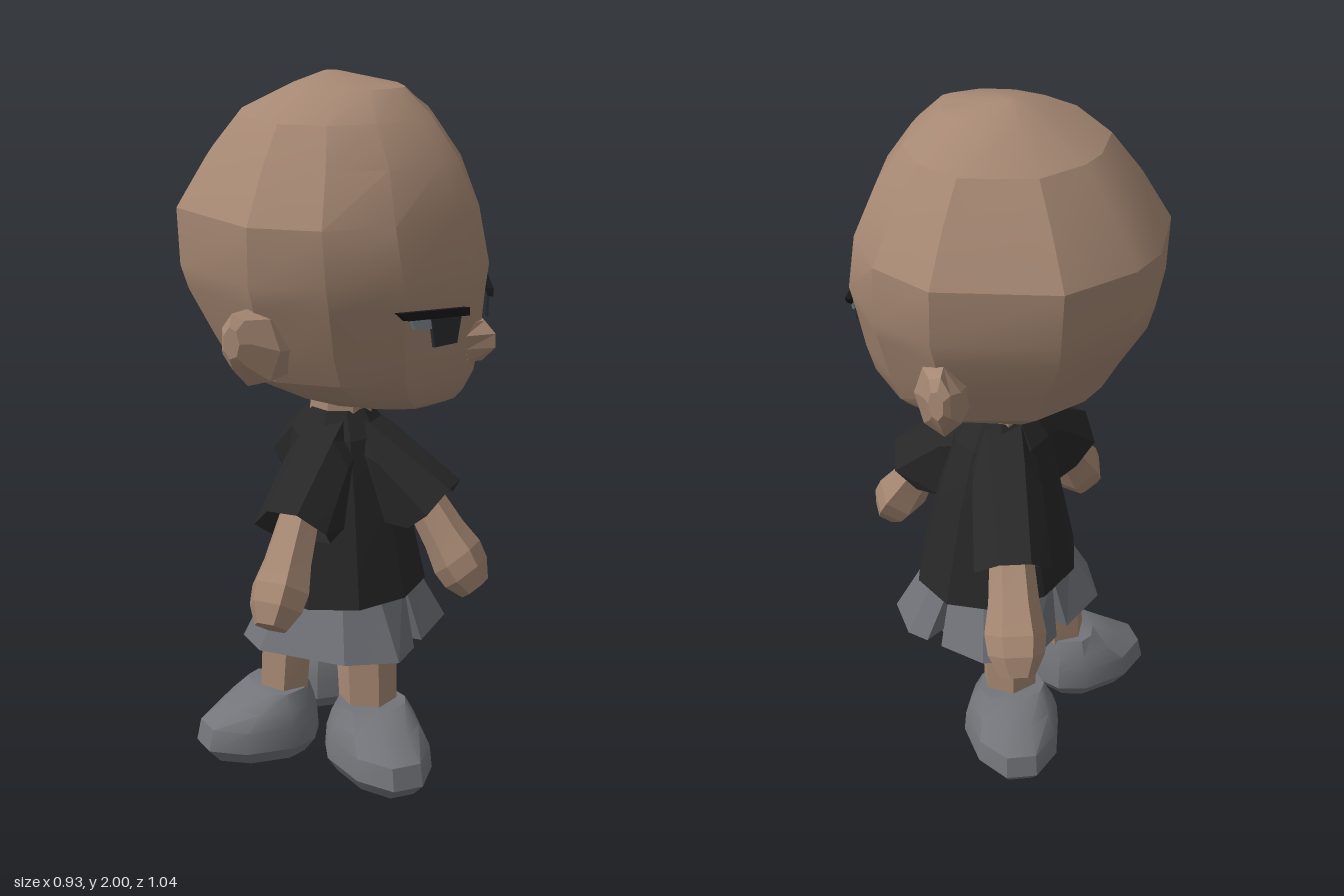
import * as THREE from 'three';
import { toCreasedNormals } from 'three/addons/utils/BufferGeometryUtils.js';

const mat = (name, color, side = THREE.FrontSide) => {
  const m = new THREE.MeshStandardMaterial({ color, side });
  m.name = name;
  return m;
};

// Faceted skin through rings of [x, y, z] points, optionally closed at both ends
function loft(rings, { bottom = true, top = true, crease = 0.2 } = {}) {
  const pos = [];
  const tri = (a, b, c) => pos.push(...a, ...b, ...c);
  const mid = (r) => [0, 1, 2].map((k) => r.reduce((s, p) => s + p[k], 0) / r.length);
  const n = rings[0].length;
  const first = rings[0], last = rings[rings.length - 1];
  for (let j = 0; j < n; j++) {
    const k = (j + 1) % n;
    for (let i = 0; i < rings.length - 1; i++) {
      const a = rings[i][j], b = rings[i][k], c = rings[i + 1][k], d = rings[i + 1][j];
      tri(a, d, b);
      tri(b, d, c);
    }
    if (bottom) tri(mid(first), first[j], first[k]);
    if (top) tri(mid(last), last[k], last[j]);
  }
  const g = new THREE.BufferGeometry();
  g.setAttribute('position', new THREE.Float32BufferAttribute(pos, 3));
  g.computeVertexNormals();
  return toCreasedNormals(g, crease);
}

// Horizontal ring from a unit outline; back and front reach may differ
const ring = (outline, y, cx, back, front, rz) =>
  outline.map(([u, v]) => [cx + u * (u > 0 ? front - cx : cx - back), y, v * rz]);
const circle = (n, turn = 0) => Array.from({ length: n }, (_, i) => {
  const t = ((i + turn) / n) * Math.PI * 2;
  return [Math.cos(t), Math.sin(t)];
});
const round = (n, y, r, cx = 0, turn = 0) => ring(circle(n, turn), y, cx, cx - r, cx + r, r);

export function createModel() {
  const skin = mat('skin', 0xa68873);
  const black = mat('shirtBlack', 0x282828, THREE.DoubleSide);
  const grey = mat('shortsGrey', 0x6f7177, THREE.DoubleSide);
  const shoeGrey = mat('shoeGrey', 0x73757a);
  const browBlack = mat('browBlack', 0x18181a);
  const irisDark = mat('irisDark', 0x2b2d31);
  const eyePale = mat('eyePale', 0x828d92);

  const model = new THREE.Group();
  const add = (name, geo, material, parent = model) => {
    const m = new THREE.Mesh(geo, material);
    m.name = name;
    parent.add(m);
    return m;
  };
  const radial = (name, angle) => {
    const g = new THREE.Group();
    g.name = name;
    g.rotation.y = -angle;
    model.add(g);
    return g;
  };

  // Head: flat slanted cheeks in front, broad planes behind
  const halfOutline = [[0.95, 0.18], [0.72, 0.65], [0.36, 0.93], [-0.1, 1], [-0.78, 0.62], [-0.98, 0.14]];
  const headOutline = [[1, 0], ...halfOutline, ...halfOutline.map(([u, v]) => [u, -v]).reverse()];
  const headRows = [ // y, centre, back x, front x, half depth
    [1.07, 0.18, 0.06, 0.28, 0.08], [1.1, 0.1, -0.09, 0.35, 0.2], [1.13, 0.03, -0.23, 0.375, 0.26],
    [1.19, -0.02, -0.31, 0.405, 0.335], [1.28, -0.03, -0.36, 0.42, 0.38], [1.41, -0.03, -0.44, 0.432, 0.425],
    [1.48, -0.03, -0.46, 0.44, 0.452], [1.64, -0.03, -0.47, 0.405, 0.452], [1.78, -0.03, -0.38, 0.35, 0.375],
    [1.89, -0.03, -0.29, 0.27, 0.295], [1.965, -0.03, -0.14, 0.19, 0.15], [2.0, -0.03, -0.05, 0.0, 0.02],
  ];
  add('head', loft(headRows.map((row) => ring(headOutline, ...row)), { crease: 0.4 }), skin);
  add('neck', loft([round(8, 0.98, 0.1), round(8, 1.13, 0.09)]), skin);

  // Nose
  add('nose', loft([[1.22, 0.43, 0.035], [1.26, 0.468, 0.05], [1.3, 0.468, 0.06], [1.335, 0.435, 0.05]]
    .map(([y, f, rz]) => ring(circle(4), y, 0.4, 0.37, f, rz))), skin);

  // Ears, flaring outward and back: z, centre x, centre y, half width, half height
  const earGeo = loft([
    [0.33, -0.05, 1.29, 0.07, 0.09], [0.42, -0.075, 1.305, 0.08, 0.11],
    [0.465, -0.105, 1.33, 0.045, 0.08], [0.482, -0.11, 1.33, 0.025, 0.045],
  ].map(([z, cx, cy, rx, ry]) => circle(7).map(([u, v]) => [cx + u * rx, cy - v * ry, z])));
  for (const s of [1, -1]) add('ear', earGeo, skin).scale.z = s;

  // Eye plates, outlined as (z, y) and slanted to follow the face
  const plate = (name, pts, lift, depth, material) => {
    const shape = new THREE.Shape(pts.map(([z, y]) => new THREE.Vector2(-z, y)));
    const g = new THREE.ExtrudeGeometry(shape, { depth, bevelEnabled: false });
    g.rotateY(Math.PI / 2);
    const p = g.attributes.position;
    for (let i = 0; i < p.count; i++) {
      p.setX(i, p.getX(i) + 0.408 + lift - 0.55 * (Math.abs(p.getZ(i)) - 0.1));
    }
    g.computeVertexNormals();
    add(name, g, material);
  };
  for (const [s, tilt] of [[1, 0], [-1, 0.15]]) {
    const at = (pts) => pts.map(([z, y]) => [s * z, y + tilt * (z - 0.05)]);
    plate('eyePale', at([[0.19, 1.35], [0.26, 1.36], [0.275, 1.395], [0.19, 1.39]]), 0, 0.008, eyePale);
    plate('iris', at([[0.13, 1.3], [0.2, 1.3], [0.215, 1.4], [0.115, 1.39]]), 0.002, 0.008, irisDark);
    plate('brow', at([[0.1, 1.372], [0.29, 1.39], [0.315, 1.415], [0.1, 1.395]]), 0, 0.018, browBlack);
  }

  // Shirt body
  add('shirt', loft([
    [0.5, 0.015, 0.235, 0.275], [0.8, 0.01, 0.175, 0.2], [0.97, 0, 0.14, 0.15], [1.045, 0, 0.09, 0.1],
  ].map(([y, cx, rx, rz]) => ring(circle(10, 0.5), y, cx, cx - rx, cx + rx, rz))), black);

  // Three sleeves and arms spread around the body
  const sleeveRing = ([t, m, b]) =>
    [[t, 1], [t, -1], [m, -1], [b, -1], [b, 1], [m, 1]].map(([[r, y, w], s]) => [r, y, s * w]);
  const sleeveGeo = loft([
    sleeveRing([[0.05, 1.045, 0.05], [0.05, 0.95, 0.09], [0.08, 0.75, 0.08]]),
    sleeveRing([[0.17, 0.985, 0.05], [0.18, 0.91, 0.1], [0.18, 0.73, 0.09]]),
    sleeveRing([[0.41, 0.84, 0.045], [0.36, 0.775, 0.11], [0.285, 0.72, 0.09]]),
  ], { bottom: false, top: false });
  const armGeo = loft([[0, 0.05], [0.055, 0.08], [0.11, 0.087], [0.19, 0.072], [0.4, 0.055]]
    .map(([y, r]) => round(6, y, r, 0, 0.5)));
  [[0, 0.87], [Math.PI / 2, 1], [Math.atan2(-0.47, -0.36), 1.2]].forEach(([angle, reach]) => {
    const g = radial('armAndSleeve', angle);
    g.scale.x = reach;
    add('sleeve', sleeveGeo, black, g);
    const arm = add('arm', armGeo, skin, g);
    arm.position.set(0.49, 0.53, 0);
    arm.rotation.z = 0.64;
  });

  // Shorts: three flared panels, [x, z] at the waist and at the hem
  const panels = [
    [[[0.2, 0], [0.18, 0.14], [0.1, 0.22], [-0.08, 0.22], [-0.16, 0.14], [-0.18, 0]],
      [[0.25, 0.03], [0.265, 0.19], [0.14, 0.3], [-0.13, 0.3], [-0.235, 0.19], [-0.22, 0.03]]],
    [[[-0.18, 0], [-0.16, -0.14], [-0.08, -0.22], [0.04, -0.22], [0.04, 0]],
      [[-0.22, -0.03], [-0.235, -0.19], [-0.13, -0.3], [0.02, -0.3], [0.02, -0.03]]],
    [[[0.04, 0], [0.04, -0.22], [0.1, -0.22], [0.18, -0.14], [0.2, 0]],
      [[0.07, -0.03], [0.07, -0.3], [0.14, -0.3], [0.265, -0.19], [0.25, -0.03]]],
  ];
  for (const [waist, hem] of panels) {
    const hemRing = hem.map(([x, z]) => [x, 0.315 + Math.abs(z) * 0.14, z]);
    const waistRing = waist.map(([x, z]) => [x, 0.52, z]);
    add('shortsPanel', loft([hemRing, waistRing], { bottom: false }), grey);
  }
  add('shortsSeat', loft([round(8, 0.46, 0.14), round(8, 0.51, 0.17)]), grey);

  // Three legs with shoes pointing outward
  const legGeo = loft([round(6, 0.14, 0.083, 0.21), round(6, 0.34, 0.088, 0.195), round(6, 0.46, 0.07, 0.15)]);
  const shoeGeo = loft([
    [0, 0.14, 0.465, 0.115], [0.045, 0.1, 0.51, 0.145], [0.11, 0.105, 0.495, 0.14],
    [0.155, 0.115, 0.41, 0.125], [0.2, 0.13, 0.32, 0.1],
  ].map(([y, b, f, rz]) => ring(circle(10, 0.5), y, 0.25, b, f, rz)), { crease: 0.6 });
  [[Math.PI * 0.25, 1.04], [Math.PI * 0.715, 0.93], [Math.PI * 1.275, 0.95]].forEach(([angle, reach]) => {
    const g = radial('legAndShoe', angle);
    g.scale.x = reach;
    add('leg', legGeo, skin, g);
    add('shoe', shoeGeo, shoeGrey, g);
  });

  return model;
}
